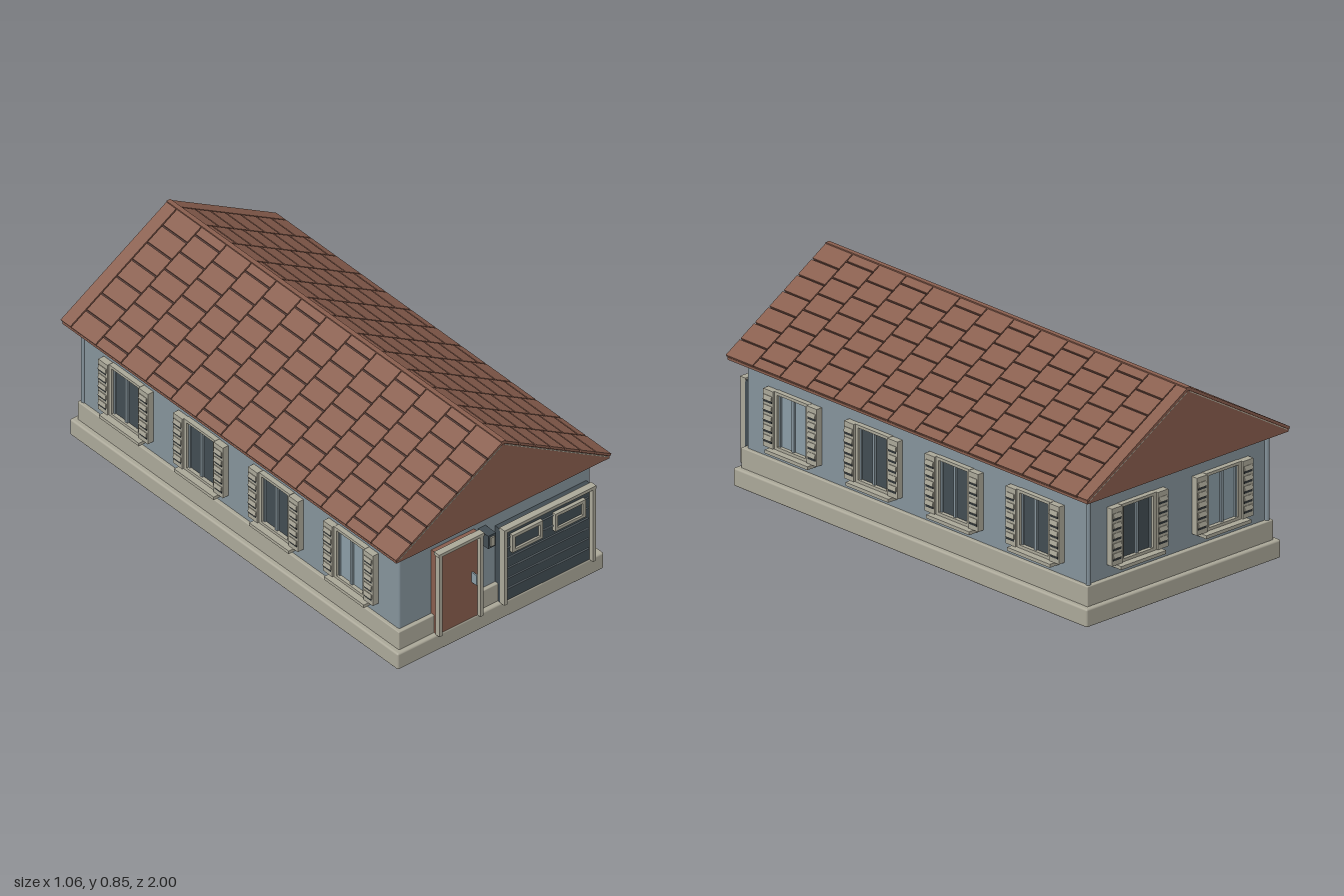
import * as THREE from 'three';
import { RoundedBoxGeometry } from 'three/addons/geometries/RoundedBoxGeometry.js';

const mat = (name, color) => {
  const m = new THREE.MeshStandardMaterial({ color });
  m.name = name;
  return m;
};
const M = {
  wall: mat('blue grey wall', 0x84929a),
  stone: mat('beige stone', 0xaaa798),
  roof: mat('roof brown', 0x885d4d),
  gap: mat('dark roof gap', 0x48302a),
  dark: mat('dark slate', 0x414c52),
  pane: mat('light pane', 0x8a9ca5),
  slot: mat('shutter slot', 0x2e3336),
};

// Box given by its centre and size; optionally with rounded edges
function box(parent, name, material, [x, y, z], [w, h, d], radius = 0) {
  const geo = radius ? new RoundedBoxGeometry(w, h, d, 2, radius) : new THREE.BoxGeometry(w, h, d);
  const mesh = new THREE.Mesh(geo, material);
  mesh.name = name;
  mesh.position.set(x, y, z);
  parent.add(mesh);
  return mesh;
}

// Box given by its minimum and maximum corners
function span(parent, name, material, a, b, radius = 0) {
  return box(parent, name, material, a.map((v, i) => (v + b[i]) / 2), a.map((v, i) => b[i] - v), radius);
}

// Shuttered window facing local +z, with the wall surface at z = 0
function makeWindow(glassMaterial) {
  const g = new THREE.Group();
  g.name = 'window';
  span(g, 'glass', glassMaterial, [-0.085, 0.21, -0.005], [0.085, 0.44, 0.006]);
  for (const s of [-1, 1]) {
    box(g, 'frameSide', M.stone, [s * 0.085, 0.327, 0.01], [0.014, 0.236, 0.024]);
    box(g, 'sashSide', M.wall, [s * 0.073, 0.327, 0.006], [0.008, 0.215, 0.014]);
  }
  box(g, 'frameTop', M.stone, [0, 0.44, 0.01], [0.184, 0.012, 0.024]);
  box(g, 'frameBottom', M.stone, [0, 0.215, 0.01], [0.184, 0.012, 0.024]);
  box(g, 'mullion', M.wall, [0, 0.327, 0.007], [0.012, 0.22, 0.014]);
  box(g, 'sill', M.stone, [0, 0.201, 0.025], [0.235, 0.014, 0.05]);
  for (const s of [-1, 1]) {
    const shutter = new THREE.Group();
    shutter.name = 'shutter';
    shutter.position.set(s * 0.12, 0.328, 0);
    g.add(shutter);
    box(shutter, 'shutterPanel', M.stone, [0, 0, 0.016], [0.054, 0.235, 0.028]);
    for (let i = 0; i < 5; i++) {
      const y = (i - 2) * 0.041;
      box(shutter, 'louvreSlot', M.slot, [0, y - 0.011, 0.029], [0.042, 0.009, 0.006]);
      box(shutter, 'louvreSlat', M.stone, [0, y + 0.004, 0.031], [0.044, 0.02, 0.008]).rotation.x = -0.2;
    }
  }
  return g;
}

function addWindows(house) {
  const place = (x, z, turn, light) => {
    const w = makeWindow(light ? M.pane : M.dark);
    w.position.set(x, 0, z);
    w.rotation.y = turn;
    house.add(w);
  };
  for (const s of [-1, 1]) {
    for (let i = 0; i < 4; i++) place(s * 0.47, 0.665 - i * 0.444, s * Math.PI / 2, i === 0);
    place(s * 0.222, -0.937, Math.PI, s < 0);
  }
}

function addRoof(house) {
  const ridgeY = 0.838, eaveX = 0.524, eaveY = 0.528;
  const angle = Math.atan2(ridgeY - eaveY, eaveX);
  const length = Math.hypot(ridgeY - eaveY, eaveX);
  const zBack = -1, zFront = 0.985, stripEnd = -0.94;

  // Closed roof body with gable ends
  const shape = new THREE.Shape([
    new THREE.Vector2(-eaveX, 0.518), new THREE.Vector2(eaveX, 0.518), new THREE.Vector2(eaveX, eaveY),
    new THREE.Vector2(0, ridgeY), new THREE.Vector2(-eaveX, eaveY),
  ]);
  const body = new THREE.Mesh(
    new THREE.ExtrudeGeometry(shape, { depth: zFront - zBack - 0.008, bevelEnabled: false }), M.roof);
  body.name = 'roofBody';
  body.position.z = zBack + 0.004;
  house.add(body);

  // Thin board on a slope: d0..d1 down from the ridge, z0..z1 along it
  const slopeBoard = (name, material, s, d0, d1, z0, z1, lift, thick) => {
    const d = (d0 + d1) / 2;
    const x = s * (d * Math.cos(angle) + lift * Math.sin(angle));
    const y = ridgeY - d * Math.sin(angle) + lift * Math.cos(angle);
    box(house, name, material, [x, y, (z0 + z1) / 2], [d1 - d0, thick, z1 - z0]).rotation.z = -s * angle;
  };

  const bands = 13, step = (zFront - stripEnd) / bands, tile = length / 7;
  for (const s of [-1, 1]) {
    slopeBoard('roofDeck', M.gap, s, 0, length - 0.004, zBack + 0.006, zFront - 0.006, 0.002, 0.004);
    slopeBoard('rearRoofEdge', M.roof, s, 0, length, zBack, stripEnd - 0.003, 0.006, 0.012);
    for (const z of [zFront - 0.003, zBack + 0.003]) {
      slopeBoard('rakeTrim', M.stone, s, 0.01, length - 0.01, z - 0.002, z + 0.002, -0.003, 0.003);
    }
    // Staggered shingles
    for (let b = 0; b < bands; b++) {
      const z0 = stripEnd + b * step;
      const start = b % 2 ? -tile / 2 : 0;
      for (let d = start; d < length - 0.01; d += tile) {
        const d0 = Math.max(d, 0), d1 = Math.min(d + tile, length);
        slopeBoard('shingle', M.roof, s, d0 + 0.003, d1 - (d1 < length - 0.001 ? 0.004 : 0),
          z0 + 0.002, z0 + step - (b < bands - 1 ? 0.003 : 0), 0.007, 0.01);
      }
    }
  }
  span(house, 'ridgeCap', M.roof, [-0.01, 0.836, zBack], [0.01, 0.851, zFront]);
}

function addFrontDoor(house) {
  span(house, 'frontDoor', M.roof, [-0.312, 0.075, 0.92], [-0.102, 0.455, 0.968]);
  for (const x of [-0.308, -0.107]) box(house, 'doorTrim', M.stone, [x, 0.265, 0.973], [0.015, 0.38, 0.024]);
  span(house, 'doorHead', M.stone, [-0.32, 0.451, 0.958], [-0.097, 0.465, 0.988]);
  span(house, 'doorHandle', M.pane, [-0.143, 0.243, 0.966], [-0.137, 0.29, 0.996]);
  // Wall lamp beside the door
  span(house, 'lampHousing', M.dark, [-0.083, 0.385, 0.92], [-0.045, 0.445, 0.994]);
  span(house, 'lampGlass', M.stone, [-0.074, 0.395, 0.992], [-0.054, 0.436, 1.0]);
}

function addGarage(house) {
  span(house, 'garageDoor', M.dark, [0.002, 0.075, 0.92], [0.45, 0.42, 0.968]);
  for (const x of [0.008, 0.443]) box(house, 'garageTrim', M.stone, [x, 0.247, 0.976], [0.015, 0.344, 0.026]);
  span(house, 'garageHead', M.stone, [0, 0.414, 0.96], [0.452, 0.428, 0.99]);
  for (let i = 0; i < 6; i++) {
    box(house, 'garagePanelRib', M.wall, [0.225, 0.13 + i * 0.048, 0.969], [0.41, 0.005, 0.006]);
  }
  for (const x of [0.12, 0.33]) {
    box(house, 'garageGlass', M.dark, [x, 0.341, 0.971], [0.13, 0.06, 0.008]);
    for (const s of [-1, 1]) {
      box(house, 'garageWindowFrame', M.stone, [x + s * 0.068, 0.341, 0.975], [0.014, 0.082, 0.018]);
      box(house, 'garageWindowFrame', M.stone, [x, 0.341 + s * 0.034, 0.975], [0.15, 0.014, 0.018]);
    }
  }
}

export function createModel() {
  const house = new THREE.Group();
  house.name = 'house';

  // Foundation, plinth and walls
  span(house, 'foundation', M.stone, [-0.507, 0, -0.974], [0.507, 0.075, 0.969], 0.008);
  span(house, 'plinth', M.stone, [-0.485, 0.07, -0.955], [0.485, 0.157, 0.949], 0.004);
  span(house, 'walls', M.wall, [-0.47, 0.1, -0.937], [0.47, 0.525, 0.932], 0.008);

  // Rear corner posts
  for (const s of [-1, 1]) {
    const post = new THREE.Mesh(new THREE.CylinderGeometry(0.01, 0.01, 0.37, 12), M.wall);
    post.name = 'cornerPost';
    post.position.set(s * 0.466, 0.335, -0.94);
    house.add(post);
  }

  addWindows(house);
  addFrontDoor(house);
  addGarage(house);
  addRoof(house);
  return house;
}
